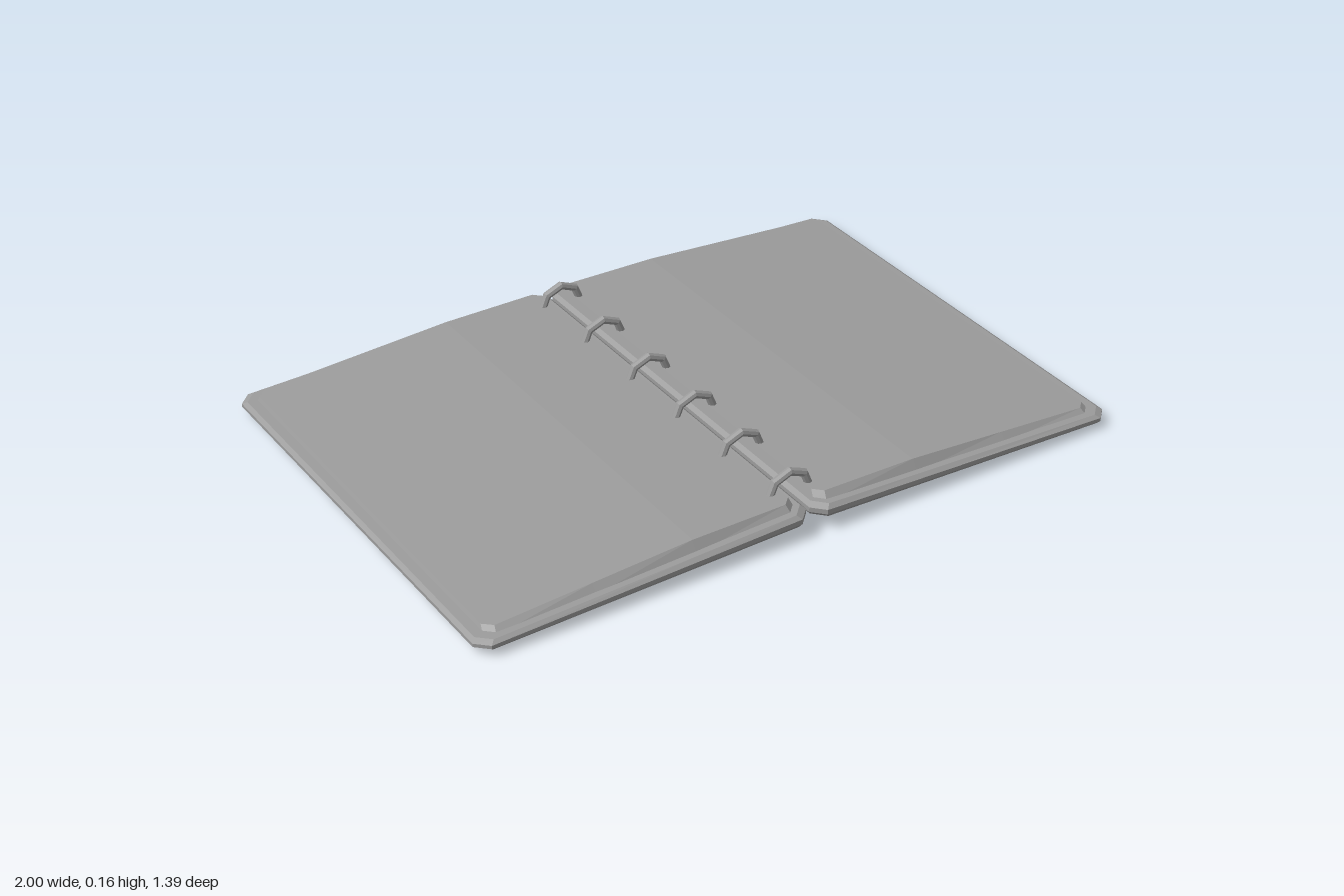
import * as THREE from 'three';

const material = new THREE.MeshStandardMaterial({ color: 0x9c9c9c, flatShading: true });

// Chamfered-corner slab lofted through layers of { inset, front, y(x) };
// front is the inset of the +z edge when it differs from the others.
// side = 1 builds it on +x, side = -1 mirrors it to -x.
function slab(name, side, x0, x1, halfZ, corner, bends, layers) {
  const loops = layers.map(({ inset, front = inset, y }) => {
    const a = x0 + inset, b = x1 - inset;
    // [x, distance in from the long edge]
    let stations = [
      [a, corner], [a + corner, 0],
      ...bends.map((x) => [x, 0]),
      [b - corner, 0], [b, corner],
    ];
    if (side < 0) stations = stations.reverse();
    const frontEdge = stations.map(([x, d]) => [side * x, y(x), halfZ - front - d]);
    const backEdge = stations.map(([x, d]) => [side * x, y(x), d + inset - halfZ]).reverse();
    return [...frontEdge, ...backEdge];
  });
  const pos = [];
  const quad = (a, b, c, d) => pos.push(...a, ...b, ...c, ...a, ...c, ...d);
  const n = loops[0].length;
  // Walls
  for (let k = 0; k < loops.length - 1; k++) {
    const lo = loops[k], hi = loops[k + 1];
    for (let i = 0; i < n; i++) {
      const j = (i + 1) % n;
      quad(lo[i], lo[j], hi[j], hi[i]);
    }
  }
  // Top and bottom faces
  const top = loops[loops.length - 1], bottom = loops[0];
  for (let i = 0; i < n / 2 - 1; i++) {
    quad(top[i], top[i + 1], top[n - 2 - i], top[n - 1 - i]);
    quad(bottom[n - 1 - i], bottom[n - 2 - i], bottom[i + 1], bottom[i]);
  }
  const geometry = new THREE.BufferGeometry();
  geometry.setAttribute('position', new THREE.Float32BufferAttribute(pos, 3));
  geometry.computeVertexNormals();
  const mesh = new THREE.Mesh(geometry, material);
  mesh.name = name;
  return mesh;
}

const lerp = THREE.MathUtils.lerp;
const coverBottom = (x) => lerp(0.043, 0.016, x);
const coverTop = (x) => lerp(0.079, 0.041, x);
const coverAt = (t) => (x) => lerp(coverBottom(x), coverTop(x), t);
// Page block: nearly flat by the spine, then sloping to the outer edge
const pageTop = (x) => (x < 0.35 ? lerp(0.094, 0.091, x / 0.35) : lerp(0.091, 0.053, (x - 0.35) / 0.6));

export function createModel() {
  const model = new THREE.Group();
  model.name = 'openRingBinder';

  for (const side of [1, -1]) {
    const label = side > 0 ? 'left' : 'right';
    // Cover with bevelled rim
    model.add(slab(label + 'Cover', side, 0.005, 1, 0.693, 0.035, [0.35], [
      { inset: 0.007, y: coverAt(0) },
      { inset: 0, y: coverAt(0.3) },
      { inset: 0, y: coverAt(0.7) },
      { inset: 0.012, y: coverAt(1) },
    ]));
    // Pages
    model.add(slab(label + 'Pages', side, 0.03, 0.962, 0.667, 0.025, [0.35, 0.65], [
      { inset: 0, y: coverAt(0.8) },
      { inset: 0.007, front: 0.022, y: pageTop },
    ]));
  }

  // Octagonal binding rings
  const rings = new THREE.Group();
  rings.name = 'bindingRings';
  const ringGeometry = new THREE.TorusGeometry(0.0655, 0.0125, 8, 8);
  [-0.585, -0.35, -0.107, 0.128, 0.357, 0.583].forEach((z, i) => {
    const ring = new THREE.Mesh(ringGeometry, material);
    ring.name = 'ring' + (i + 1);
    ring.position.set(-0.008, 0.078, z);
    rings.add(ring);
  });
  model.add(rings);
  return model;
}
